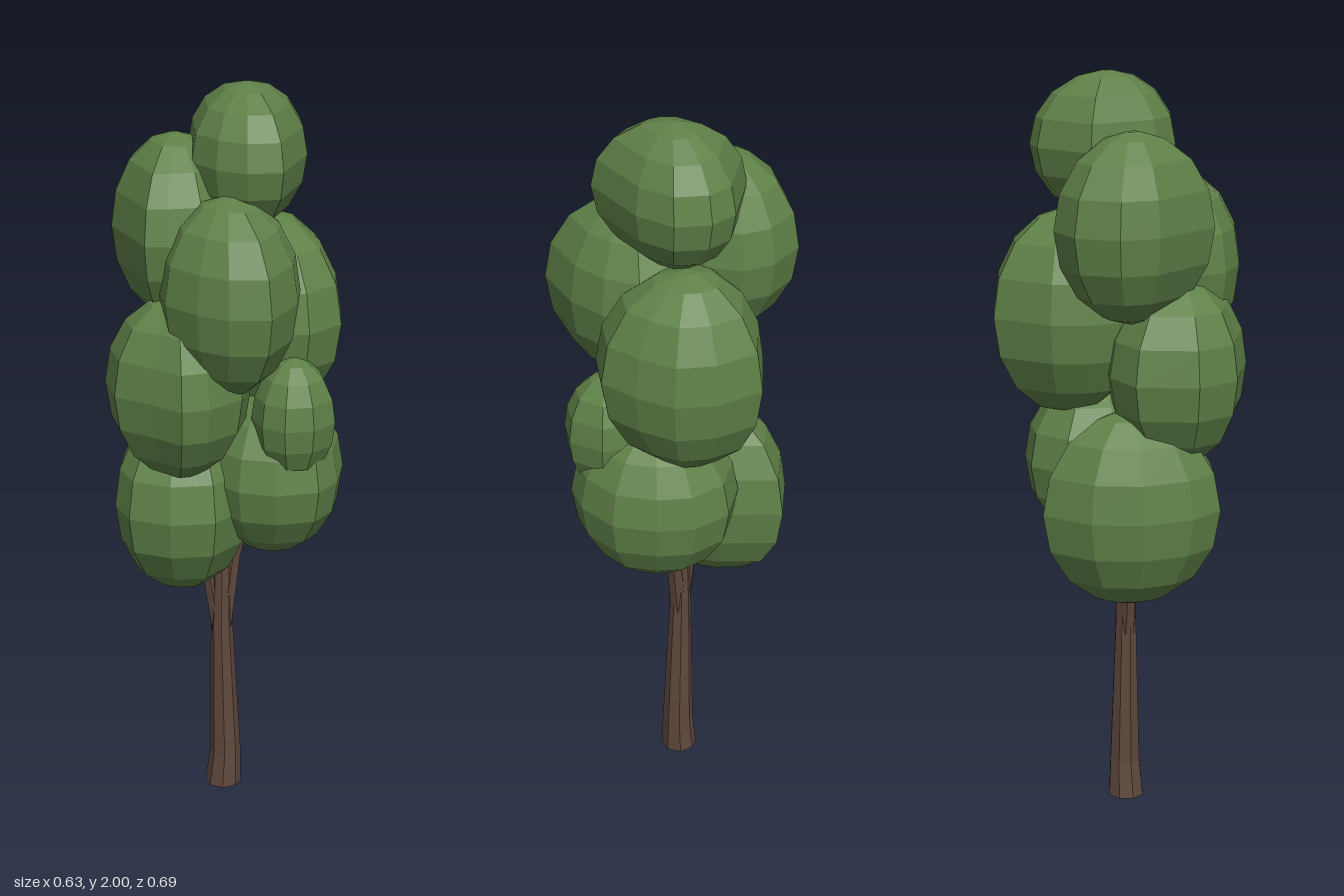
import * as THREE from 'three';

// Flat-shaded solid through stacked rings; each ring is a list of [x, y, z] points
function loft(rings, material, name) {
  const sides = rings[0].length, index = [];
  for (let k = 0; k < rings.length - 1; k++) {
    for (let i = 0; i < sides; i++) {
      const a = k * sides + i, b = k * sides + ((i + 1) % sides);
      index.push(a, b, b + sides, a, b + sides, a + sides);
    }
  }
  const top = (rings.length - 1) * sides;
  for (let i = 1; i < sides - 1; i++) {
    index.push(0, i + 1, i, top, top + i, top + i + 1);
  }
  const geo = new THREE.BufferGeometry();
  geo.setAttribute('position', new THREE.Float32BufferAttribute(rings.flat(2), 3));
  geo.setIndex(index);
  const flat = geo.toNonIndexed();
  flat.computeVertexNormals();
  const mesh = new THREE.Mesh(flat, material);
  mesh.name = name;
  return mesh;
}

// Circular ring for trunk and branches
function circle([x, y, z, r], sides) {
  return Array.from({ length: sides }, (_, i) => {
    const a = (i / sides) * Math.PI * 2;
    return [x + Math.sin(a) * r, y, z + Math.cos(a) * r];
  });
}

// Rounded clump: an uneven [x, z] outline at mid height, shrinking to both poles
function clumpRings(low, high, outline) {
  const mid = (axis) => {
    const v = outline.map((p) => p[axis]);
    return (Math.min(...v) + Math.max(...v)) / 2;
  };
  const cx = mid(0), cz = mid(1), steps = 8;
  return Array.from({ length: steps + 1 }, (_, k) => {
    const a = (k / steps) * Math.PI;
    const y = (low + high) / 2 - ((high - low) / 2) * Math.cos(a);
    const s = Math.max(Math.sin(a), 0.08);
    return outline.map(([x, z]) => [cx + (x - cx) * s, y, cz + (z - cz) * s]);
  });
}

export function createModel() {
  const tree = new THREE.Group();
  tree.name = 'tree';
  const bark = new THREE.MeshStandardMaterial({ color: 0x5e483c });
  bark.name = 'bark brown';
  const leaf = new THREE.MeshStandardMaterial({ color: 0x5f8148 });
  leaf.name = 'leaf green';

  const addLimb = (name, sides, rings) =>
    tree.add(loft(rings.map((r) => circle(r, sides)), bark, name));
  const addClump = (name, low, high, outline) =>
    tree.add(loft(clumpRings(low, high, outline), leaf, name));

  // Trunk with a flared foot, then two branches reaching into the crown
  addLimb('trunk', 8, [
    [-0.008, 0, -0.006, 0.05], [-0.002, 0.1, -0.007, 0.043],
    [-0.012, 0.5, -0.008, 0.03], [-0.01, 0.62, -0.008, 0.028], [-0.008, 0.8, -0.01, 0.02],
  ]);
  addLimb('rightBranch', 6, [
    [-0.016, 0.47, -0.008, 0.024], [-0.046, 0.65, -0.01, 0.021], [-0.08, 0.85, -0.03, 0.014],
  ]);
  addLimb('leftBranch', 6, [
    [-0.008, 0.47, -0.008, 0.024], [0.02, 0.7, -0.01, 0.022], [0.08, 0.92, -0.02, 0.014],
  ]);

  // Foliage clumps, outlines running front, left, back, right
  addClump('topFoliage', 1.62, 2.0, [
    [0.06, 0.165], [0.15, 0.15], [0.208, -0.045], [0.198, -0.155], [0.13, -0.22],
    [0.05, -0.23], [-0.105, -0.145], [-0.085, 0.05], [-0.02, 0.13],
  ]);
  addClump('upperRightFoliage', 1.37, 1.865, [
    [-0.14, 0.16], [-0.05, 0.14], [0.03, 0.03], [0.03, -0.12], [-0.02, -0.205],
    [-0.095, -0.245], [-0.21, -0.235], [-0.29, -0.145], [-0.3, -0.04], [-0.2, 0.16],
  ]);
  addClump('upperFrontFoliage', 1.225, 1.742, [
    [0.02, 0.34], [0.127, 0.335], [0.19, 0.19], [0.195, 0.08], [0.165, -0.02],
    [0.06, -0.08], [-0.08, -0.05], [-0.175, 0.08], [-0.145, 0.22], [-0.06, 0.3],
  ]);
  addClump('backLeftFoliage', 1.09, 1.64, [
    [0.1, 0.09], [0.22, 0.085], [0.303, -0.005], [0.303, -0.115], [0.28, -0.225],
    [0.2, -0.3], [0.08, -0.345], [-0.06, -0.24], [-0.1, -0.15], [-0.1, -0.03], [0, 0.06],
  ]);
  addClump('middleRightFoliage', 0.98, 1.472, [
    [-0.1, 0.305], [-0.03, 0.28], [0.05, 0.2], [0.07, 0.08], [0, -0.06],
    [-0.12, -0.1], [-0.24, -0.08], [-0.315, 0.065], [-0.28, 0.19], [-0.18, 0.25],
  ]);
  addClump('smallFrontFoliage', 0.97, 1.3, [
    [0.16, 0.2], [0.235, 0.185], [0.29, 0.12], [0.275, 0.02],
    [0.2, -0.03], [0.1, 0], [0.07, 0.09], [0.1, 0.165],
  ]);
  addClump('lowerLeftFoliage', 0.72, 1.184, [
    [0.14, 0.185], [0.25, 0.155], [0.3, 0.075], [0.315, -0.045], [0.26, -0.15],
    [0.19, -0.22], [0.08, -0.245], [-0.03, -0.19], [-0.07, -0.06], [-0.05, 0.08], [0.04, 0.165],
  ]);
  addClump('lowerRightFoliage', 0.604, 1.136, [
    [-0.14, 0.2], [-0.02, 0.18], [0.06, 0.07], [0.05, -0.06], [0, -0.16],
    [-0.105, -0.285], [-0.23, -0.2], [-0.29, -0.08], [-0.295, 0.06], [-0.25, 0.16],
  ]);
  return tree;
}
